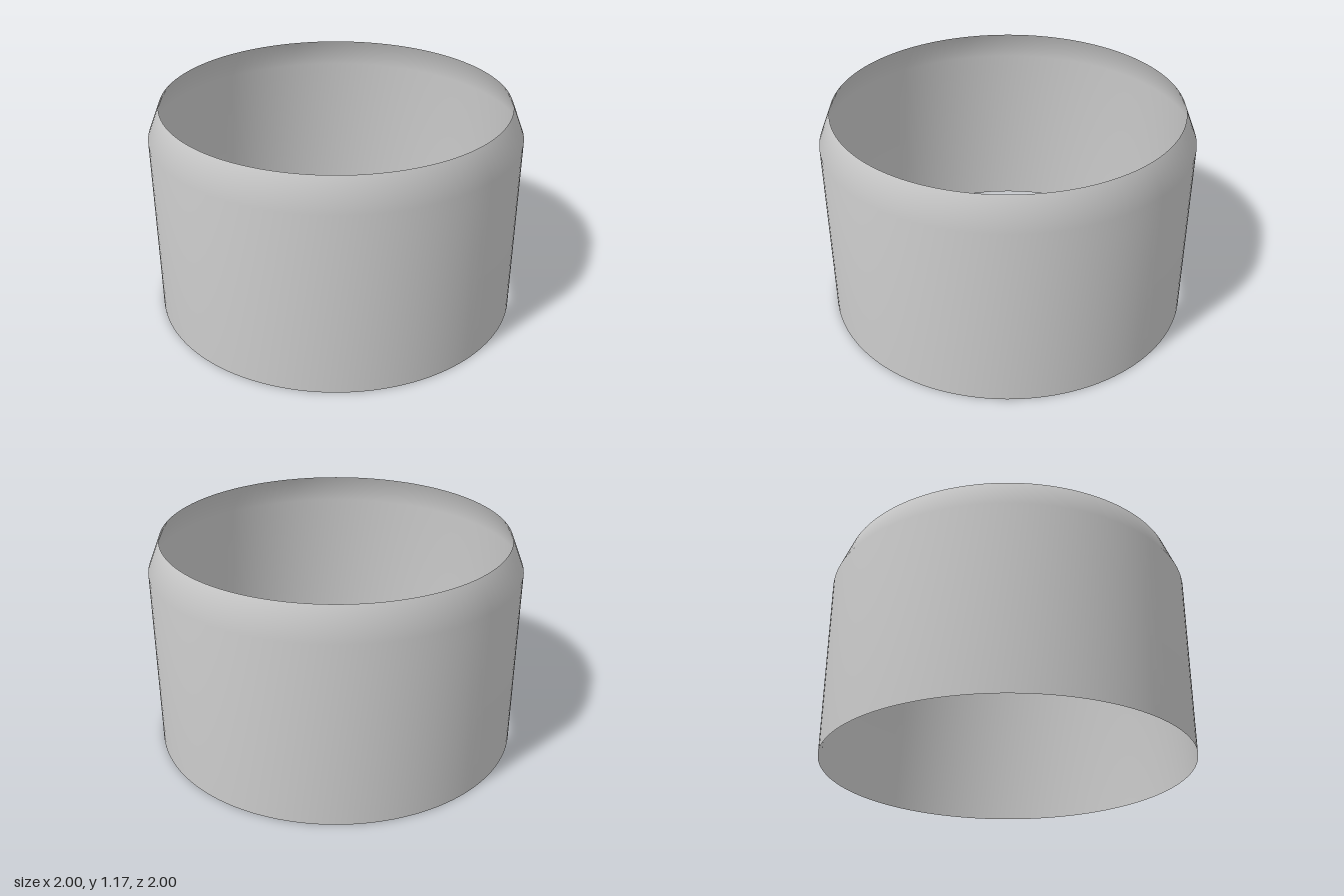
import * as THREE from 'three';

export function createModel() {
  const group = new THREE.Group();
  group.name = 'openCollar';

  // Thin straight wall that tapers inward at the rim, open at both ends
  const profile = [[1, 0], [1, 1], [0.933, 1.168]].map(([r, y]) => new THREE.Vector2(r, y));
  const wall = new THREE.Mesh(
    new THREE.LatheGeometry(profile, 128),
    new THREE.MeshStandardMaterial({ color: 0xcccccc, side: THREE.DoubleSide })
  );
  wall.name = 'taperedWall';
  group.add(wall);

  return group;
}
